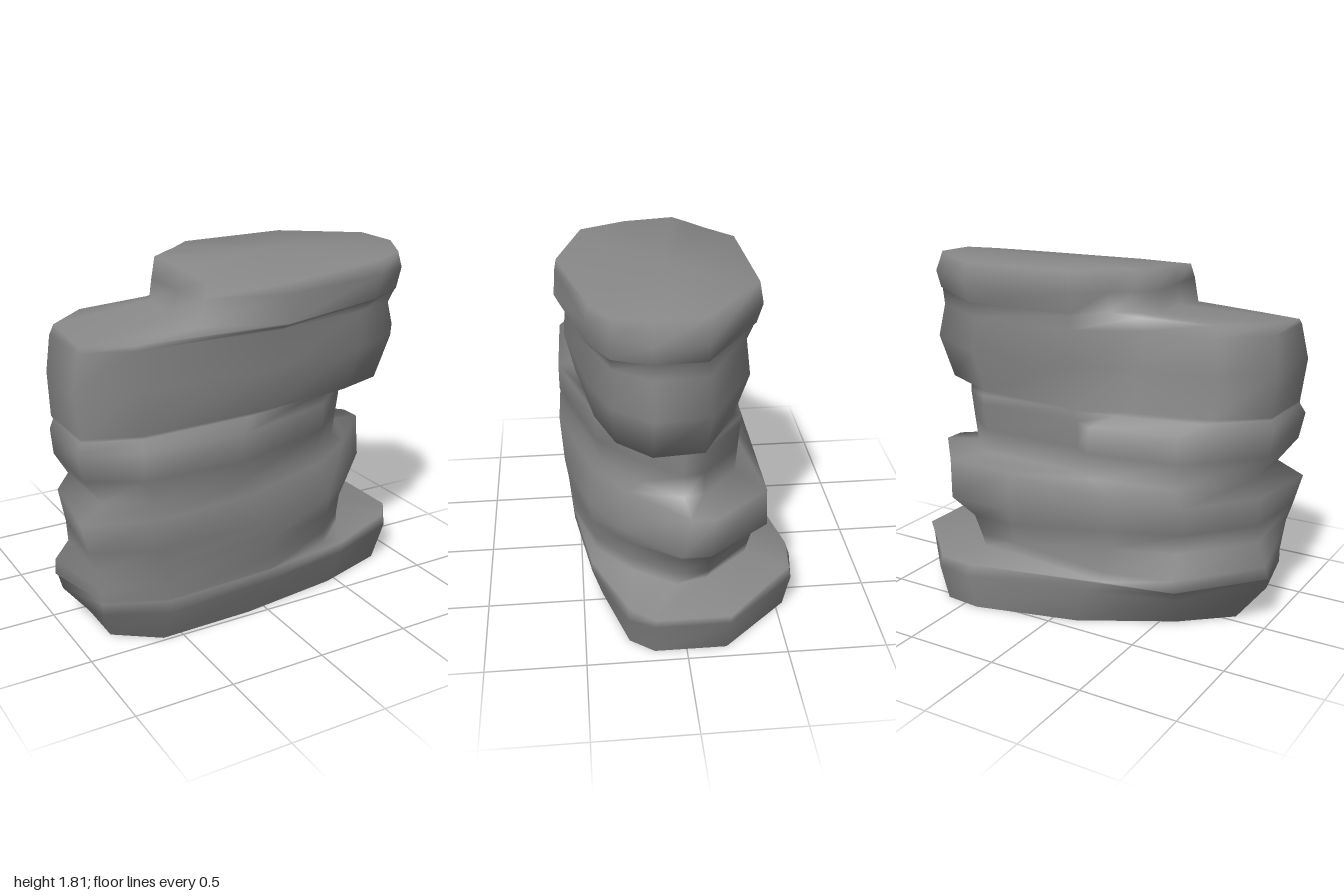
import * as THREE from 'three';

// Each ring: { y, tilt (rise per x), dip (drop towards the front), p: [x, z] points }
const height = ({ y, tilt = 0, dip = 0 }, x, z) => y + tilt * x - dip * Math.max(0, z - 0.12);

// Loft closed rings into one smooth skin, open underneath and closed on top
function loft(rings) {
  const n = rings[0].p.length;
  const pos = [], index = [];
  for (const ring of rings) for (const [x, z] of ring.p) pos.push(x, height(ring, x, z), z);
  for (let r = 0; r < rings.length - 1; r++) {
    for (let i = 0; i < n; i++) {
      const a = r * n + i, b = r * n + (i + 1) % n;
      index.push(a, a + n, b, b, a + n, b + n);
    }
  }
  // Top closed by a fan around a middle point
  const last = rings[rings.length - 1];
  const start = (rings.length - 1) * n, top = rings.length * n;
  pos.push(0.3, last.y, 0.05);
  for (let i = 0; i < n; i++) index.push(top, start + (i + 1) % n, start + i);
  const g = new THREE.BufferGeometry();
  g.setAttribute('position', new THREE.Float32BufferAttribute(pos, 3));
  g.setIndex(index);
  g.computeVertexNormals();
  return g;
}

// Points run from the right front corner along the front, left side and back.

// Wide foot slab
const foot = [
  { y: 0, p: [[.93, .16], [.84, .28], [.45, .4], [-.1, .47], [-.6, .48], [-.82, .32], [-.82, .05], [-.58, -.16], [-.12, -.42], [.42, -.56], [.62, -.54], [.93, -.2]] },
  { y: .19, p: [[.98, .16], [.91, .29], [.5, .45], [0, .53], [-.6, .57], [-.9, .43], [-.97, .08], [-.64, -.29], [-.18, -.44], [.45, -.6], [.65, -.57], [.98, -.21]] },
  { y: .25, p: [[1, .16], [.9, .28], [.5, .45], [0, .53], [-.6, .56], [-.9, .43], [-.98, .05], [-.65, -.34], [-.25, -.43], [.43, -.58], [.64, -.56], [1, -.21]] },
];

// Lower bulging layer
const lower = [
  { y: .26, p: [[.74, .04], [.6, .25], [.4, .42], [0, .53], [-.6, .56], [-.9, .43], [-.99, .04], [-.65, -.36], [-.28, -.43], [.3, -.36], [.5, -.35], [.7, -.12]] },
  { y: .33, p: [[.75, .03], [.6, .25], [.4, .42], [0, .53], [-.6, .56], [-.91, .43], [-.98, .02], [-.65, -.38], [-.3, -.45], [.3, -.37], [.52, -.36], [.74, -.13]] },
  { y: .44, p: [[.78, .02], [.6, .27], [.4, .44], [0, .55], [-.62, .55], [-.93, .42], [-.92, .06], [-.65, -.28], [-.3, -.4], [.3, -.39], [.55, -.38], [.78, -.12]] },
  { y: .54, p: [[.9, .02], [.63, .29], [.4, .45], [-.05, .57], [-.65, .57], [-.96, .43], [-.92, .04], [-.66, -.27], [-.3, -.42], [.3, -.43], [.66, -.43], [.9, -.12]] },
  { y: .73, tilt: .03, p: [[.91, -.02], [.62, .26], [.36, .43], [-.2, .59], [-.7, .58], [-1, .45], [-.94, 0], [-.68, -.35], [-.3, -.42], [.3, -.42], [.67, -.42], [.91, -.14]] },
];

// Recessed middle layer with a bump at the back
const middle = [
  { y: .775, p: [[.74, 0], [.58, .2], [.35, .38], [-.2, .54], [-.65, .54], [-.87, .41], [-.88, .02], [-.62, -.29], [-.16, -.37], [-.05, -.3], [.52, -.28], [.72, -.1]] },
  { y: .91, p: [[.76, 0], [.6, .2], [.38, .4], [-.2, .58], [-.72, .57], [-.97, .43], [-.96, .03], [-.63, -.3], [-.16, -.37], [-.07, -.31], [.52, -.29], [.74, -.1]] },
  { y: 1.05, p: [[.78, 0], [.61, .2], [.38, .4], [-.2, .58], [-.72, .57], [-1, .43], [-.98, .05], [-.63, -.3], [-.17, -.37], [-.07, -.32], [.53, -.3], [.76, -.1]] },
  { y: 1.1, p: [[.78, 0], [.61, .2], [.38, .36], [-.1, .49], [-.7, .52], [-.97, .42], [-.96, .05], [-.7, -.18], [-.26, -.28], [-.04, -.32], [.53, -.3], [.76, -.1]] },
];

// Upper layer, ending in the low shelf on one side
const upper = [
  { y: 1.115, p: [[.91, .16], [.76, .32], [.5, .41], [0, .49], [-.7, .52], [-.97, .42], [-.97, .05], [-.74, -.14], [-.32, -.23], [-.04, -.32], [.55, -.26], [.89, -.08]] },
  { y: 1.34, p: [[.99, .16], [.84, .34], [.58, .44], [.02, .54], [-.7, .52], [-1, .42], [-.98, .05], [-.76, -.14], [-.35, -.21], [-.04, -.33], [.57, -.33], [.97, -.1]] },
  { y: 1.52, p: [[.94, .16], [.82, .33], [.58, .42], [.03, .52], [-.72, .51], [-.96, .41], [-.96, .06], [-.74, -.13], [-.35, -.18], [-.04, -.33], [.56, -.31], [.93, -.09]] },
  { y: 1.59, tilt: .02, dip: .1, p: [[.96, .16], [.85, .34], [.65, .43], [.05, .56], [-.71, .49], [-.95, .4], [-.94, .07], [-.73, -.12], [-.34, -.17], [-.04, -.33], [.57, -.34], [.95, -.08]] },
];

// Raised block standing behind the shelf's inner edge
const block = [
  { y: 1.6, tilt: .01, dip: .08, p: [[.965, .16], [.86, .34], [.66, .44], [.05, .58], [-.36, .45], [-.38, .2], [-.39, -.04], [-.29, -.12], [-.19, -.19], [-.04, -.33], [.57, -.35], [.96, -.08]] },
  { y: 1.7, p: [[.99, .16], [.89, .34], [.69, .44], [.05, .57], [-.34, .44], [-.36, .2], [-.37, -.05], [-.28, -.12], [-.18, -.2], [-.04, -.34], [.57, -.38], [.99, -.08]] },
  { y: 1.81, dip: .13, p: [[.95, .16], [.87, .33], [.68, .42], [.05, .56], [-.32, .43], [-.34, .2], [-.35, -.05], [-.27, -.12], [-.17, -.2], [-.03, -.33], [.57, -.36], [.94, -.08]] },
];

export function createModel() {
  const model = new THREE.Group();
  model.name = 'layeredRock';
  const material = new THREE.MeshStandardMaterial({ color: 0x888888, side: THREE.DoubleSide });
  // The stacked layers share one skin so their ledges join without gaps
  const rock = new THREE.Mesh(loft([...foot, ...lower, ...middle, ...upper, ...block]), material);
  rock.name = 'rockLayers';
  model.add(rock);
  return model;
}
